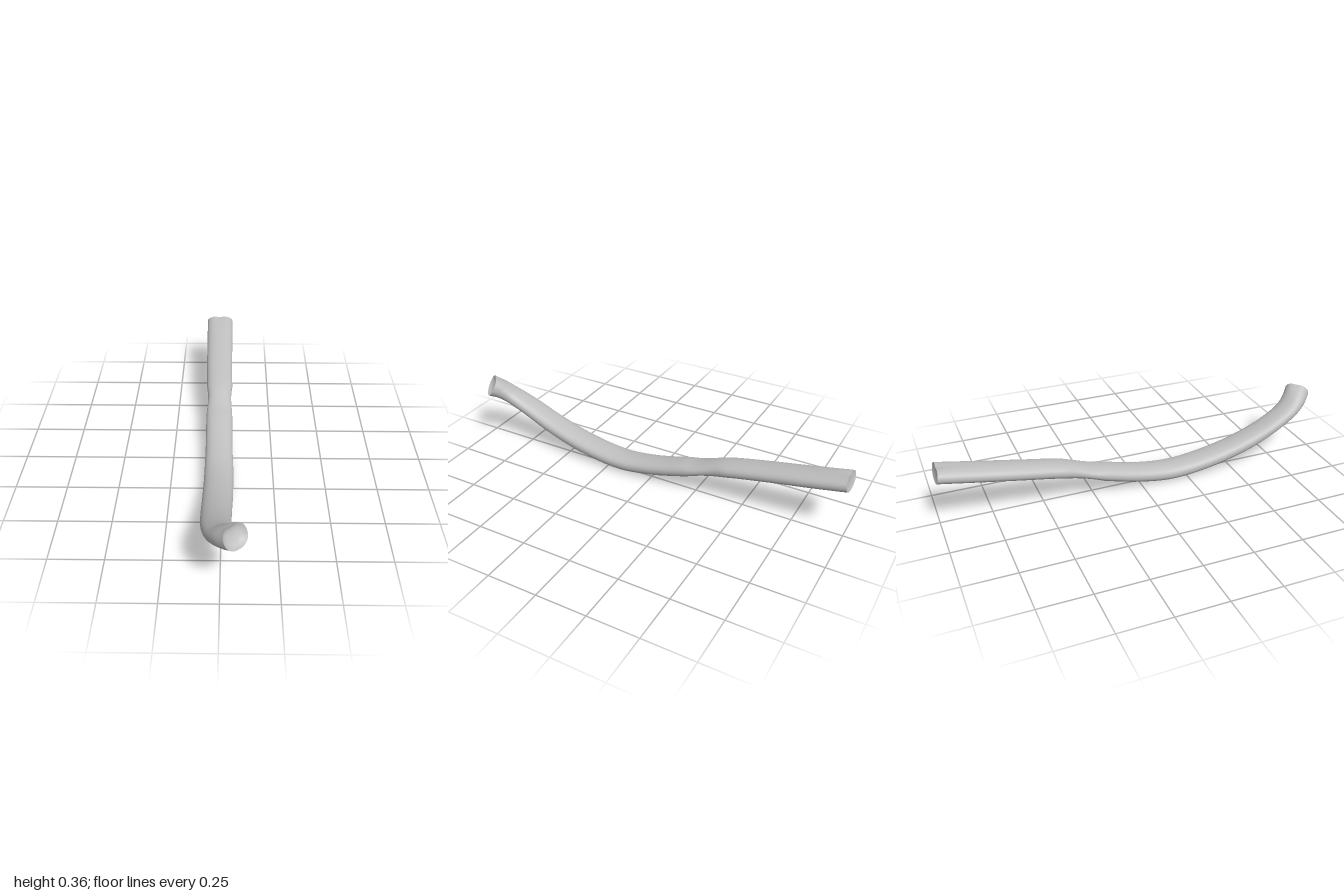
import * as THREE from 'three';

const SIDES = 40, STEPS = 110;

// Stations along the rod: x, y, z of the centre, half width, half height
const STATIONS = [
  [-0.028, 0.287, -0.993, 0.073, 0.038],
  [-0.026, 0.250, -0.80, 0.072, 0.038],
  [-0.025, 0.213, -0.60, 0.070, 0.038],
  [-0.021, 0.173, -0.40, 0.068, 0.038],
  [-0.020, 0.113, -0.20, 0.068, 0.038],
  [-0.018, 0.062, 0.00, 0.068, 0.040],
  [-0.016, 0.042, 0.18, 0.071, 0.041],
  [-0.018, 0.070, 0.40, 0.071, 0.040],
  [-0.021, 0.128, 0.60, 0.069, 0.039],
  [-0.017, 0.195, 0.75, 0.066, 0.036],
  [0.000, 0.247, 0.85, 0.063, 0.038],
  [0.027, 0.285, 0.905, 0.062, 0.046],
  [0.062, 0.314, 0.943, 0.062, 0.054],
];

const path = new THREE.CatmullRomCurve3(STATIONS.map(s => new THREE.Vector3(s[0], s[1], s[2])));
const sizes = new THREE.CatmullRomCurve3(STATIONS.map(s => new THREE.Vector3(s[3], s[4], 0)));

// One rounded-oval cross-section, scaled by r and pushed along the path by d
function ring(t, r = 1, d = 0) {
  const c = path.getPoint(t), tan = path.getTangent(t), size = sizes.getPoint(t);
  const side = new THREE.Vector3(0, 1, 0).cross(tan).normalize();
  const up = tan.clone().cross(side);
  const notchDepth = 0.2 * Math.exp(-t / 0.03) + 0.1 * Math.exp(-(1 - t) / 0.03);
  const pts = [];
  for (let j = 0; j <= SIDES; j++) {
    const a = (j % SIDES) / SIDES * Math.PI * 2;
    const round = v => Math.sign(v) * Math.abs(v) ** 0.9;
    // shallow dent on top near each end
    const k = r * (1 - notchDepth * Math.exp(-(((a - 1.6) / 0.35) ** 2)));
    pts.push(c.clone()
      .addScaledVector(side, round(Math.cos(a)) * size.x * k)
      .addScaledVector(up, round(Math.sin(a)) * size.y * k)
      .addScaledVector(tan, d));
  }
  return pts;
}

// Skin a list of rings
function loft(rings) {
  const pos = [], index = [], n = SIDES + 1;
  rings.forEach(pts => pts.forEach(p => pos.push(p.x, p.y, p.z)));
  for (let i = 0; i < rings.length - 1; i++) {
    for (let j = 0; j < SIDES; j++) {
      const a = i * n + j, b = a + 1, c = a + n, e = c + 1;
      index.push(a, b, c, b, e, c);
    }
  }
  const g = new THREE.BufferGeometry();
  g.setAttribute('position', new THREE.Float32BufferAttribute(pos, 3));
  g.setIndex(index);
  g.computeVertexNormals();
  // join the shading across the seam
  const nor = g.attributes.normal;
  for (let i = 0; i < rings.length; i++) {
    const a = i * n, b = a + SIDES;
    const v = new THREE.Vector3().fromBufferAttribute(nor, a)
      .add(new THREE.Vector3().fromBufferAttribute(nor, b)).normalize();
    nor.setXYZ(a, v.x, v.y, v.z);
    nor.setXYZ(b, v.x, v.y, v.z);
  }
  return g;
}

export function createModel() {
  const model = new THREE.Group();
  model.name = 'bentRod';
  const grey = new THREE.MeshStandardMaterial({ color: 0xbfbfbf });
  grey.name = 'plain grey';

  const add = (name, geometry) => {
    const mesh = new THREE.Mesh(geometry, grey);
    mesh.name = name;
    model.add(mesh);
  };

  // Curved body
  const body = [];
  for (let i = 0; i <= STEPS; i++) body.push(ring(i / STEPS));
  add('body', loft(body));

  // Dished front face
  add('frontEnd', loft([[1, 0], [0.88, -0.006], [0.7, -0.014], [0.4, -0.018], [0.001, -0.019]]
    .map(([r, d]) => ring(1, r, d))));

  // Nearly flat rear face
  add('rearEnd', loft([[0.001, 0.006], [0.5, 0.005], [0.85, 0.003], [1, 0]]
    .map(([r, d]) => ring(0, r, d))));

  return model;
}
